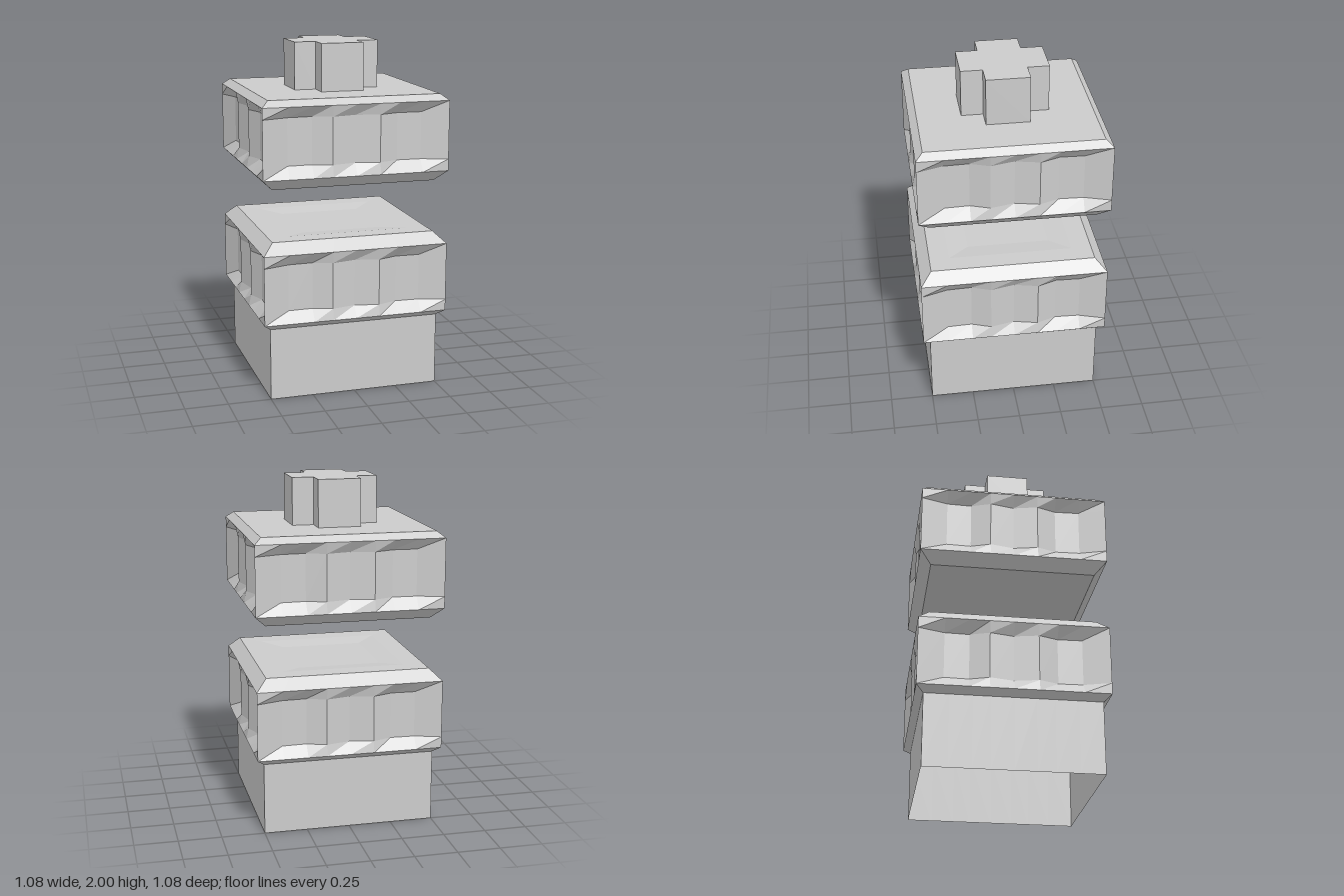
import * as THREE from 'three';

const material = new THREE.MeshStandardMaterial({
  color: 0xcccccc, flatShading: true, side: THREE.DoubleSide,
});

// Scallop depth across one side: position (fraction of half width), depth
const scallops = [
  [-1, 0], [-0.72, 0.05], [-0.46, 0.055], [-0.255, 0.014], [0, 0.045],
  [0.255, 0.014], [0.46, 0.055], [0.72, 0.05], [1, 0],
];

// One square ring of points, with its sides carved in by the scallops
function ring([y, half, carve]) {
  const points = [];
  for (let side = 0; side < 4; side++) {
    for (const [t, depth] of scallops.slice(0, -1)) {
      let x = t * half, z = half - depth * carve;
      for (let k = 0; k < side; k++) [x, z] = [z, -x];
      points.push([x, y, z]);
    }
  }
  return points;
}

// Skin over a stack of rings, bottom to top; a half width of 0 closes the end
function loft(name, profile) {
  const rings = profile.map(ring);
  const positions = [];
  for (let i = 0; i + 1 < rings.length; i++) {
    const low = rings[i], high = rings[i + 1], n = low.length;
    for (let j = 0; j < n; j++) {
      const k = (j + 1) % n;
      if (profile[i][1] > 0) positions.push(...low[j], ...low[k], ...high[k]);
      if (profile[i + 1][1] > 0) positions.push(...low[j], ...high[k], ...high[j]);
    }
  }
  const geometry = new THREE.BufferGeometry();
  geometry.setAttribute('position', new THREE.Float32BufferAttribute(positions, 3));
  geometry.computeVertexNormals();
  const mesh = new THREE.Mesh(geometry, material);
  mesh.name = name;
  return mesh;
}

export function createModel() {
  const model = new THREE.Group();

  // Hollow square base, open underneath
  model.add(loft('base', [[0, 0.5, 0], [0.42, 0.5, 0]]));

  // Scalloped block with bevels and a shallow pan in its top: y, half width, carve
  const block = [
    [0.42, 0.5, 0], [0.455, 0.542, 0], [0.52, 0.542, 1], [0.79, 0.542, 1],
    [0.858, 0.542, 0], [0.922, 0.477, 0], [0.92, 0.36, 0], [0.905, 0.24, 0], [0.905, 0, 0],
  ];
  model.add(loft('lowerBlock', block));

  // The upper block mirrors the lower one and has a flat lid
  const upper = block.map(([y, half, carve]) => [2.145 - y, half, carve]).reverse();
  upper.push([1.725, 0, 0]);
  model.add(loft('upperBlock', upper));

  // Cross-shaped peg
  const a = 0.125, b = 0.25;
  const cross = new THREE.Shape([
    [a, b], [-a, b], [-a, a], [-b, a], [-b, -a], [-a, -a],
    [-a, -b], [a, -b], [a, -a], [b, -a], [b, a], [a, a],
  ].map(([x, y]) => new THREE.Vector2(x, y)));
  const peg = new THREE.Mesh(
    new THREE.ExtrudeGeometry(cross, { depth: 0.275, bevelEnabled: false }), material);
  peg.name = 'crossPeg';
  peg.rotation.x = -Math.PI / 2;
  peg.position.y = 1.725;
  model.add(peg);

  return model;
}
